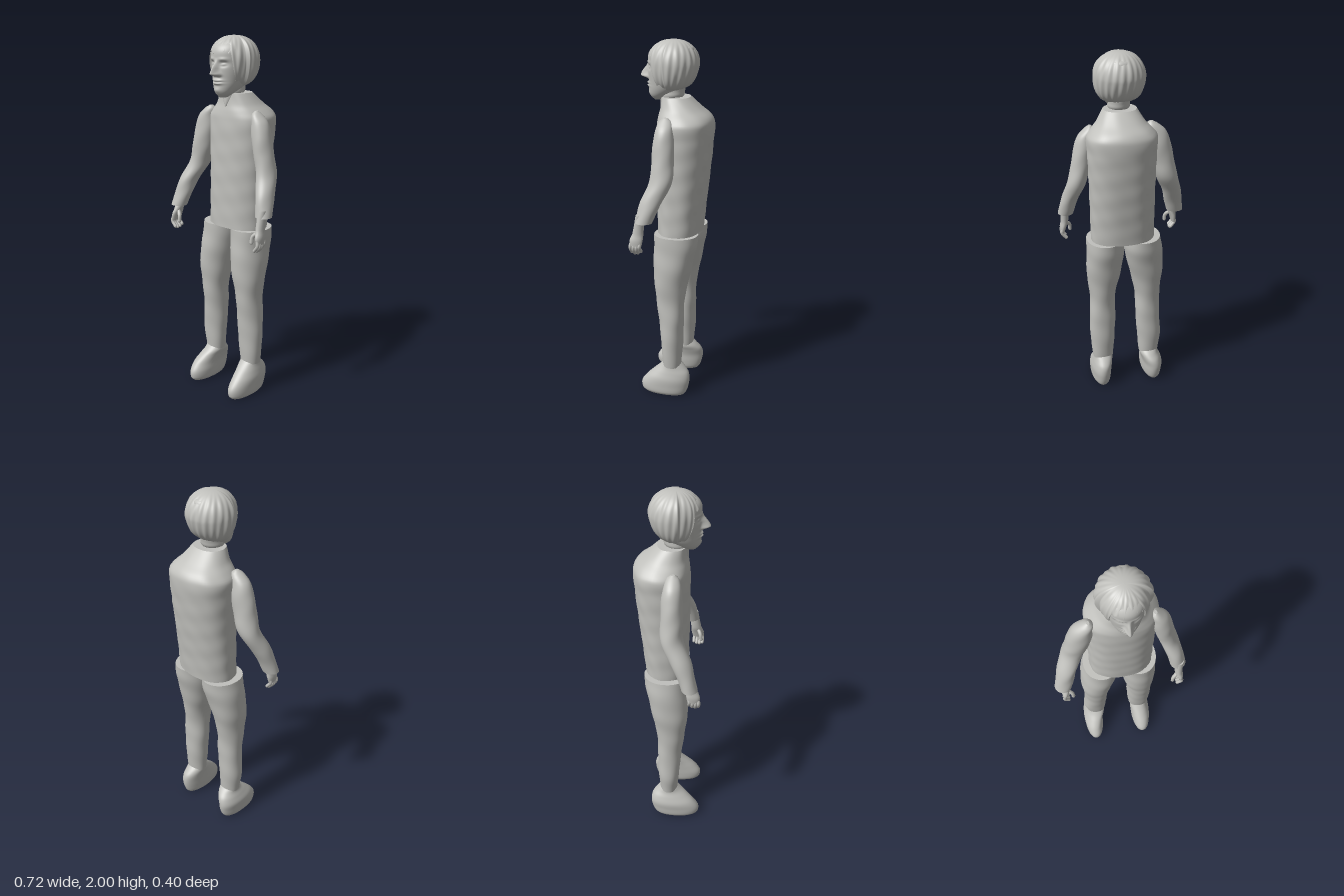
import * as THREE from 'three';

const TAU = Math.PI * 2;
const cloth = new THREE.MeshStandardMaterial({ color: 0xc0c0bc });
cloth.name = 'plain grey';
const hairMat = new THREE.MeshStandardMaterial({ color: 0xc0c0bc, side: THREE.DoubleSide });
hairMat.name = 'hair grey';

const gauss = (d, w) => Math.exp(-(d * d) / (w * w));
const smooth = THREE.MathUtils.smoothstep;

// Closed-around surface from fn(angle, v), v running bottom to top; optional flat caps
function skin(name, fn, nu, nv, capped = true, mat = cloth) {
  const pos = [], idx = [];
  for (let i = 0; i <= nv; i++)
    for (let j = 0; j < nu; j++) pos.push(...fn(j / nu * TAU, i / nv));
  const at = (i, j) => i * nu + (j % nu);
  for (let i = 0; i < nv; i++)
    for (let j = 0; j < nu; j++)
      idx.push(at(i, j), at(i + 1, j), at(i, j + 1), at(i, j + 1), at(i + 1, j), at(i + 1, j + 1));
  if (capped) for (const row of [0, nv]) {
    const start = pos.length / 3, c = [0, 0, 0];
    for (let j = 0; j < nu; j++) {
      const k = at(row, j) * 3;
      for (let n = 0; n < 3; n++) { c[n] += pos[k + n] / nu; pos.push(pos[k + n]); }
    }
    const mid = pos.length / 3;
    pos.push(...c);
    for (let j = 0; j < nu; j++) {
      const a = start + j, b = start + (j + 1) % nu;
      row ? idx.push(mid, b, a) : idx.push(mid, a, b);
    }
  }
  const geo = new THREE.BufferGeometry();
  geo.setAttribute('position', new THREE.Float32BufferAttribute(pos, 3));
  geo.setIndex(idx);
  geo.computeVertexNormals();
  const mesh = new THREE.Mesh(geo, mat);
  mesh.name = name;
  return mesh;
}

// Smooth interpolation through rows of numbers; the first column is the height
function rowAt(rows, y) {
  let i = 0;
  while (i < rows.length - 2 && y > rows[i + 1][0]) i++;
  const a = rows[i], b = rows[i + 1], p = rows[i - 1] || a, q = rows[i + 2] || b;
  const h = b[0] - a[0], t = THREE.MathUtils.clamp((y - a[0]) / h, 0, 1);
  return a.map((_, k) => {
    const m0 = (b[k] - p[k]) / (b[0] - p[0]) * h, m1 = (q[k] - a[k]) / (q[0] - a[0]) * h;
    const t2 = t * t, t3 = t2 * t;
    return (2 * t3 - 3 * t2 + 1) * a[k] + (t3 - 2 * t2 + t) * m0 + (3 * t2 - 2 * t3) * b[k] + (t3 - t2) * m1;
  });
}

// Loft through rows [y, centre x, centre z, half width, half depth]
function loft(name, rows, { nu = 40, nv = 48, power = 2, wrinkle = () => 0, sculpt = (p) => p } = {}) {
  const lo = rows[0][0], hi = rows[rows.length - 1][0], e = 2 / power;
  const bend = (s) => Math.sign(s) * Math.abs(s) ** e;
  return skin(name, (a, v) => {
    const y = lo + (hi - lo) * v, [, cx, cz, rx, rz] = rowAt(rows, y);
    const k = 1 + wrinkle(a, y);
    return sculpt([cx + rx * k * bend(Math.cos(a)), y, cz + rz * k * bend(Math.sin(a))]);
  }, nu, nv);
}

// Round-ended tube for fingers
function finger(name, pts, r) {
  const curve = new THREE.CatmullRomCurve3(pts.map((p) => new THREE.Vector3(...p)));
  const g = new THREE.Group();
  g.name = name;
  g.add(new THREE.Mesh(new THREE.TubeGeometry(curve, 10, r, 8), cloth));
  const tip = new THREE.Mesh(new THREE.SphereGeometry(r, 8, 6), cloth);
  tip.position.copy(curve.getPoint(1));
  g.add(tip);
  g.children.forEach((m) => { m.name = name; });
  return g;
}

// Hand: s is the side, x the wrist position, top the height where it enters the sleeve
function hand(name, s, x, top) {
  const g = new THREE.Group();
  g.name = name;
  g.add(loft('palm', [
    [0.965, x + s * 0.012, 0.14, 0.012, 0.03], [1.0, x + s * 0.008, 0.138, 0.018, 0.036],
    [1.035, x, 0.13, 0.021, 0.03], [top + 0.02, x, 0.115, 0.024, 0.024],
  ], { nu: 20, nv: 16 }));
  [0.166, 0.15, 0.133, 0.117].forEach((z, i) => {
    const drop = [0.006, 0, 0.002, 0.012][i];
    g.add(finger('finger', [
      [x + s * 0.012, 0.985, z], [x + s * 0.016, 0.955 + drop, z + 0.002], [x - s * 0.006, 0.925 + drop, z],
    ], 0.0095));
  });
  g.add(finger('thumb', [
    [x - s * 0.005, 1.025, 0.14], [x - s * 0.03, 1.0, 0.155], [x - s * 0.034, 0.968, 0.16],
  ], 0.0105));
  return g;
}

export function createModel() {
  const model = new THREE.Group();
  model.name = 'standingFigure';

  // Shirt body
  const rumple = (a, y) => 0.008 * Math.sin(5 * a + 23 * y) * Math.sin(31 * y - 3 * a) + 0.005 * Math.sin(9 * a - 41 * y);
  model.add(loft('shirt', [
    [0.98, 0.02, -0.02, 0.175, 0.12], [1.1, 0.021, -0.025, 0.176, 0.126], [1.3, 0.024, -0.035, 0.178, 0.138],
    [1.5, 0.026, -0.045, 0.184, 0.147], [1.58, 0.027, -0.048, 0.184, 0.147], [1.615, 0.028, -0.042, 0.16, 0.135],
    [1.65, 0.028, -0.025, 0.127, 0.11], [1.71, 0.027, 0.005, 0.088, 0.075],
  ], { nu: 64, nv: 80, power: 2.25, wrinkle: rumple }));

  // Neck, ending in the point of the open collar
  model.add(loft('neck', [
    [1.64, 0.028, 0.08, 0.006, 0.012], [1.71, 0.028, 0.03, 0.056, 0.06],
    [1.74, 0.028, 0.025, 0.057, 0.065], [1.8, 0.028, 0.02, 0.06, 0.07],
  ], { nv: 24 }));

  // Head with nose, eyes, lips and chin pressed into the front
  model.add(loft('head', [
    [1.69, 0.028, 0.1, 0.018, 0.025], [1.71, 0.028, 0.09, 0.045, 0.053], [1.74, 0.028, 0.065, 0.068, 0.085],
    [1.78, 0.028, 0.045, 0.085, 0.105], [1.83, 0.028, 0.04, 0.096, 0.112], [1.88, 0.028, 0.035, 0.1, 0.119],
    [1.93, 0.028, 0.03, 0.098, 0.12], [1.965, 0.028, 0.02, 0.08, 0.1], [1.985, 0.028, 0.02, 0.04, 0.05],
  ], {
    nu: 120, nv: 90, sculpt: ([x, y, z]) => {
      if (z < 0.06) return [x, y, z];
      const d = x - 0.028, m = Math.abs(d);
      const bridge = smooth(y, 1.795, 1.812) * (1 - smooth(y, 1.81, 1.895));
      z += 0.048 * bridge * gauss(d, 0.012 + 0.008 * (1 - smooth(y, 1.8, 1.84)));
      z += 0.008 * gauss(m - 0.017, 0.009) * gauss(y - 1.808, 0.01);
      z -= 0.014 * gauss(m - 0.038, 0.022) * gauss(y - 1.862, 0.014);
      z += 0.009 * gauss(m - 0.038, 0.014) * gauss(y - 1.86, 0.007);
      z += 0.005 * gauss(m - 0.04, 0.025) * gauss(y - 1.885, 0.009);
      z += 0.012 * gauss(d, 0.03) * (gauss(y - 1.779, 0.007) + gauss(y - 1.764, 0.007));
      z -= 0.005 * gauss(d, 0.028) * gauss(y - 1.771, 0.003);
      z += 0.006 * gauss(d, 0.025) * gauss(y - 1.728, 0.014);
      return [x, y, z];
    },
  }));

  // Hair: high fringe, locks beside the face, fuller shell behind a step at the ears
  model.add(skin('hair', (a, v) => {
    const front = Math.sin(a), back = front < 0.17;
    const fringe = smooth(front, 0.5, 0.82);
    const hem = THREE.MathUtils.lerp(back ? -1.3 : -1.12, 0.4, fringe) + 0.06 * Math.sin(17 * a) + 0.04 * Math.sin(31 * a);
    const el = THREE.MathUtils.lerp(hem, Math.PI / 2, Math.max(0, (v - 0.05) / 0.95));
    const flow = 1 - smooth(v, 0.7, 1);
    const strands = flow * (0.016 * Math.sin(22 * a + 7 * v) + 0.012 * Math.sin(13 * a - 9 * v)) - 0.02 * flow;
    const r = Math.max(0, Math.cos(el)) ** (el < 0 ? 0.5 : 0.85) * (1 + strands) * (v < 0.02 ? 0.82 : 1);
    const tuck = el < 0 && front < 0 ? 0.02 * el * front : 0;
    return [0.026 + (back ? 0.137 : 0.12) * r * Math.cos(a), 1.875 + 0.125 * Math.sin(el) * (el < 0 ? 1.05 : 1),
      0.022 + 0.139 * r * front + tuck];
  }, 160, 50, false, hairMat));

  // Sleeves
  const creases = (a, y) => 0.02 * Math.sin(38 * y + 2 * a) * Math.sin(a + 9 * y);
  model.add(loft('rightSleeve', [
    [1.05, -0.317, 0.118, 0.047, 0.043], [1.12, -0.3, 0.098, 0.051, 0.046], [1.2, -0.28, 0.068, 0.053, 0.057],
    [1.3, -0.24, 0.022, 0.06, 0.059], [1.4, -0.21, 0.02, 0.065, 0.058], [1.5, -0.19, 0.018, 0.064, 0.055],
    [1.57, -0.174, 0.02, 0.052, 0.045], [1.61, -0.15, 0.02, 0.03, 0.03], [1.625, -0.146, 0.02, 0.008, 0.01],
  ], { wrinkle: creases }));
  model.add(loft('leftSleeve', [
    [1.1, 0.315, 0.1, 0.043, 0.045], [1.2, 0.295, 0.068, 0.045, 0.056], [1.3, 0.263, 0.024, 0.05, 0.06],
    [1.4, 0.24, 0.018, 0.051, 0.058], [1.5, 0.22, 0.018, 0.052, 0.055], [1.57, 0.207, 0.018, 0.042, 0.045],
    [1.61, 0.187, 0.018, 0.023, 0.03], [1.625, 0.184, 0.018, 0.008, 0.01],
  ], { wrinkle: creases }));
  model.add(hand('rightHand', -1, -0.305, 1.06), hand('leftHand', 1, 0.32, 1.12));

  // Trouser legs
  const folds = (a, y) => 0.022 * Math.sin(30 * y + a) * Math.sin(13 * y - 2 * a);
  model.add(loft('rightTrouserLeg', [
    [0.18, -0.142, 0, 0.058, 0.05], [0.3, -0.145, 0, 0.07, 0.06], [0.45, -0.135, 0.003, 0.07, 0.068],
    [0.6, -0.132, 0.01, 0.074, 0.08], [0.75, -0.122, 0.003, 0.095, 0.102], [0.9, -0.098, -0.015, 0.108, 0.117],
    [0.98, -0.09, -0.02, 0.102, 0.12],
  ], { wrinkle: folds, power: 2.1 }));
  model.add(loft('leftTrouserLeg', [
    [0.18, 0.137, 0, 0.06, 0.05], [0.3, 0.137, 0, 0.07, 0.06], [0.45, 0.135, 0.003, 0.075, 0.068],
    [0.6, 0.133, 0.01, 0.073, 0.08], [0.75, 0.125, 0.003, 0.095, 0.102], [0.9, 0.118, -0.015, 0.104, 0.117],
    [0.98, 0.117, -0.02, 0.104, 0.12],
  ], { wrinkle: folds, power: 2.1 }));

  // Shoes
  for (const [name, toe, ankle] of [['rightShoe', -0.167, -0.143], ['leftShoe', 0.147, 0.137]])
    model.add(loft(name, [
      [0, toe, 0.045, 0.046, 0.118], [0.015, toe, 0.046, 0.055, 0.131], [0.055, toe, 0.04, 0.059, 0.139],
      [0.1, toe, 0.022, 0.06, 0.127], [0.14, (toe + ankle) / 2, 0.005, 0.057, 0.103],
      [0.17, ankle, 0, 0.055, 0.074], [0.195, ankle, 0, 0.052, 0.048],
    ], { nv: 30, power: 2.1 }));

  return model;
}
